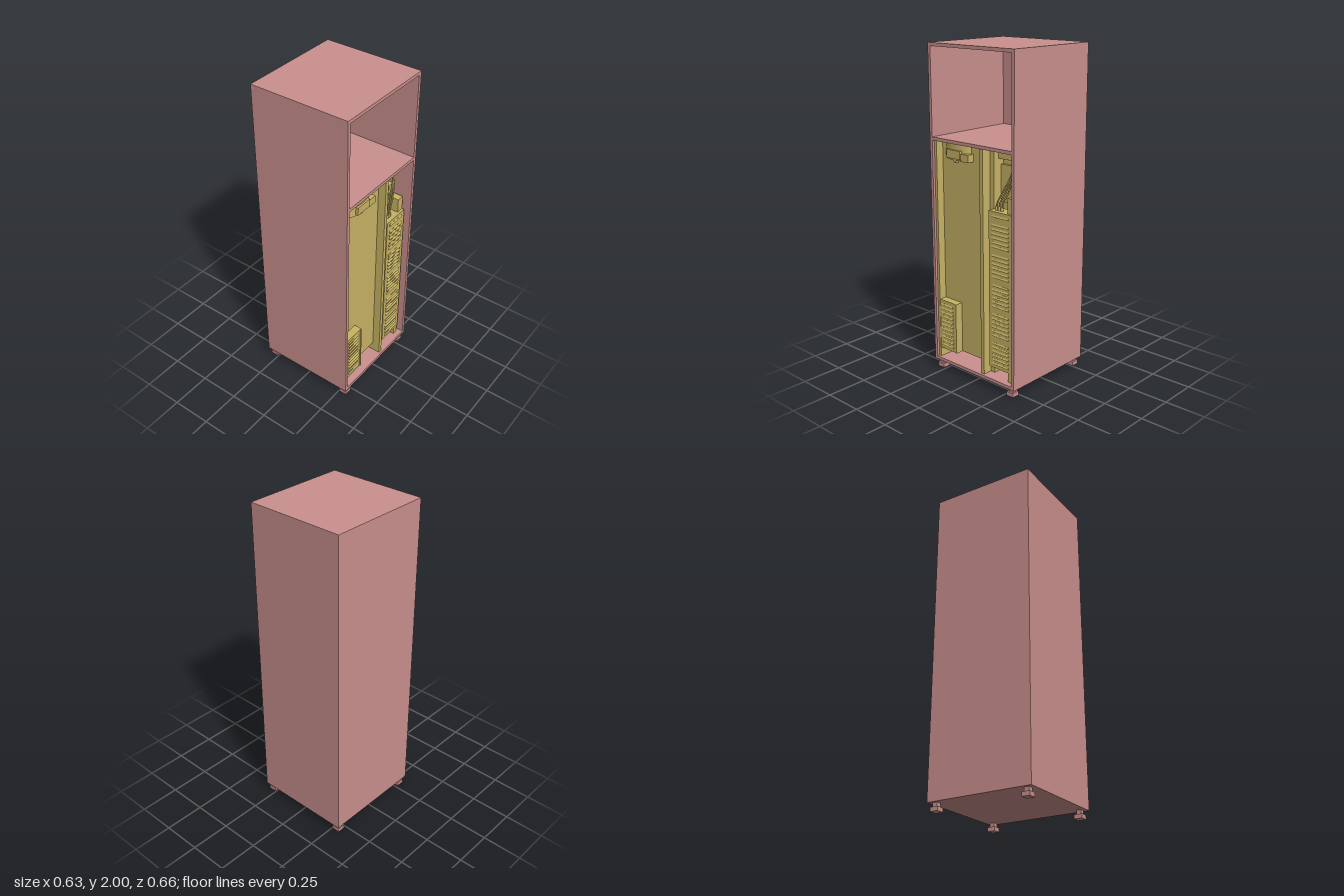
import * as THREE from 'three';

const pink = new THREE.MeshStandardMaterial({ color: 0xc9908d });
const yellow = new THREE.MeshStandardMaterial({ color: 0xc8b465 });

export function createModel() {
  const model = new THREE.Group();
  const cabinet = new THREE.Group();
  cabinet.name = 'cabinet';
  const unit = new THREE.Group();
  unit.name = 'equipmentUnit';
  model.add(cabinet, unit);

  const add = (parent, name, geometry, material) => {
    const mesh = new THREE.Mesh(geometry, material);
    mesh.name = name;
    parent.add(mesh);
    return mesh;
  };
  // Box given by its limits on each axis
  const box = (parent, name, material, [x0, x1], [y0, y1], [z0, z1]) => {
    const mesh = add(parent, name, new THREE.BoxGeometry(x1 - x0, y1 - y0, z1 - z0), material);
    mesh.position.set((x0 + x1) / 2, (y0 + y1) / 2, (z0 + z1) / 2);
    return mesh;
  };

  // Casing, open towards +x: one frame with two openings, plus the closed side
  const W = 0.315, D = 0.33;
  const frame = new THREE.Shape([[-D, 0.05], [D, 0.05], [D, 2], [-D, 2]].map(p => new THREE.Vector2(...p)));
  for (const [y0, y1] of [[0.07, 1.44], [1.46, 1.98]]) {
    frame.holes.push(new THREE.Path([[-0.31, y0], [-0.31, y1], [0.31, y1], [0.31, y0]].map(p => new THREE.Vector2(...p))));
  }
  const casing = new THREE.ExtrudeGeometry(frame, { depth: 2 * W - 0.02, bevelEnabled: false });
  casing.rotateY(Math.PI / 2).translate(-W + 0.02, 0, 0);
  add(cabinet, 'casingFrame', casing, pink);
  box(cabinet, 'closedSide', pink, [-W, -W + 0.02], [0.05, 2], [-D, D]);

  // Four feet, each a stem on a wider pad
  for (const x of [-0.28, 0.28]) for (const z of [-0.29, 0.29]) {
    box(cabinet, 'footStem', pink, [x - 0.015, x + 0.015], [0.025, 0.05], [z - 0.015, z + 0.015]);
    box(cabinet, 'footPad', pink, [x - 0.025, x + 0.025], [0, 0.025], [z - 0.025, z + 0.025]);
  }

  // Main body with its side rail and the divider next to the column
  box(unit, 'mainBody', yellow, [-0.28, 0.25], [0.13, 1.435], [-0.055, 0.305]);
  box(unit, 'sideRail', yellow, [-0.28, 0.3], [0.07, 1.435], [0.292, 0.309]);
  box(unit, 'divider', yellow, [-0.28, 0.3], [0.07, 1.435], [-0.08, -0.055]);
  box(unit, 'dividerBack', yellow, [-0.28, 0.24], [0.07, 1.435], [-0.11, -0.08]);

  // Slotted covers: a plate, rim and rows of slats
  const cover = (name, x, [y0, y1], [z0, z1], count, group) => {
    box(unit, name, yellow, [0.2, x], [y0, y1], [z0, z1]);
    const pitch = (y1 - y0 - 0.03) / count;
    for (let i = 0; i < count; i++) {
      if (i % group === group - 1) continue;
      const y = y0 + 0.015 + pitch * (i + 0.5);
      const slat = box(unit, name + 'Slat', yellow, [x - 0.004, x + 0.004],
        [y - 0.006, y + 0.006], [z0 + 0.025, z1 - 0.025]);
      slat.rotation.z = 0.4;
    }
  };
  cover('columnCover', 0.285, [0.13, 1.09], [-0.287, -0.11], 36, 7);
  cover('lowerVent', 0.298, [0.13, 0.45], [0.155, 0.305], 11, 12);
  box(unit, 'lowerVentRim', yellow, [0.25, 0.302], [0.13, 0.45], [0.152, 0.162]);
  box(unit, 'columnFoot', yellow, [0.22, 0.28], [0.07, 0.13], [-0.287, -0.255]);

  // Ceiling-mounted latch housing
  const drum = add(unit, 'latchDrum', new THREE.CylinderGeometry(0.1, 0.1, 0.095, 32), yellow);
  drum.scale.x = 0.4;
  drum.position.set(0.25, 1.388, 0.155);
  box(unit, 'latchBlock', yellow, [0.25, 0.3], [1.35, 1.4], [0.1, 0.21]);
  box(unit, 'latchFlange', yellow, [0.25, 0.295], [1.34, 1.385], [0.04, 0.1]);
  box(unit, 'latchKnob', yellow, [0.265, 0.285], [1.325, 1.35], [0.145, 0.165]);

  // Service bay above the column
  box(unit, 'bayBack', yellow, [-0.28, 0.16], [0.13, 1.435], [-0.287, -0.08]);
  box(unit, 'bayPlate', yellow, [0.16, 0.18], [1.12, 1.34], [-0.22, -0.085]);
  box(unit, 'bayUpperPlate', yellow, [0.16, 0.2], [1.375, 1.435], [-0.23, -0.095]);
  box(unit, 'bayBox', yellow, [0.16, 0.27], [1.09, 1.18], [-0.287, -0.24]);
  box(unit, 'bayBracket', yellow, [0.16, 0.2], [1.18, 1.25], [-0.287, -0.24]);

  // Curved pipes with end fittings
  for (let i = 0; i < 3; i++) {
    const z = -0.14 - i * 0.02;
    const path = new THREE.CatmullRomCurve3([
      [0.25, 1.09, z], [0.25, 1.13, z - 0.005], [0.24, 1.21, z - 0.045],
      [0.23, 1.3, -0.232 - i * 0.007], [0.21, 1.41, -0.255 - i * 0.01],
    ].map(p => new THREE.Vector3(...p)));
    add(unit, 'pipe', new THREE.TubeGeometry(path, 24, 0.005, 8), yellow);
    const fitting = add(unit, 'pipeFitting', new THREE.CylinderGeometry(0.009, 0.009, 0.025, 12), yellow);
    fitting.position.set(0.25, 1.1, z);
  }
  return model;
}
